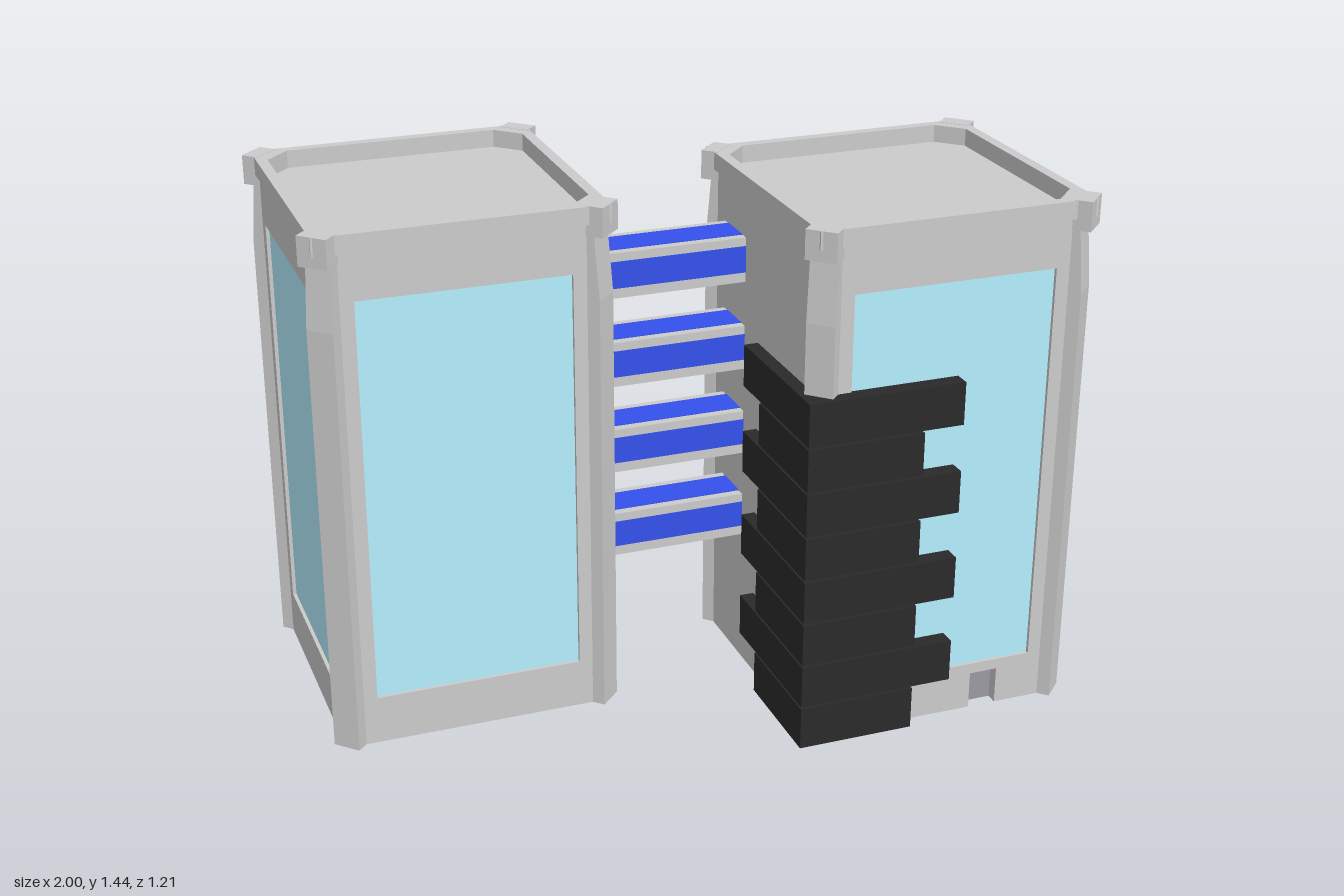
import * as THREE from 'three';

const mat = (color) => new THREE.MeshStandardMaterial({ color, side: THREE.DoubleSide, flatShading: true });
const grey = mat(0xcccccc), glass = mat(0xb5efff), blue = mat(0x3451ec), black = mat(0x2a2a2a), doorGrey = mat(0x9c9aa2);

const WALL = 0.375;      // half width of a tower body
const CENTRE = [0.588, 0.19];

function add(parent, name, geometry, material, x = 0, y = 0, z = 0) {
  const mesh = new THREE.Mesh(geometry, material);
  mesh.name = name;
  mesh.position.set(x, y, z);
  parent.add(mesh);
  return mesh;
}

const polygon = (points) => new THREE.Shape(points.map(([x, y]) => new THREE.Vector2(x, y)));
const box = (x, y, z) => new THREE.BoxGeometry(x, y, z);

// Plan outline (x, -z) raised along y
function raise(shape, height, steps = 1) {
  return new THREE.ExtrudeGeometry(shape, { depth: height, steps, bevelEnabled: false }).rotateX(-Math.PI / 2);
}

// Diagonal corner post outline: outer half extent h, face width f, shoulder s
const postShape = (h, f, s) => polygon([
  [h - f - s, h - s], [h - s, h - f - s], [h, h - f], [h - f, h],
]);

// One side of a tower, facing +z
function makeWall(hasWindow, hasDoor) {
  const wall = new THREE.Group();
  const outline = [[-0.33, 0], [0.33, 0], [0.33, 1.39], [-0.33, 1.39]];
  if (hasDoor) outline.splice(1, 0, [0.107, 0], [0.107, 0.105], [0.187, 0.105], [0.187, 0]);
  const shape = polygon(outline);
  if (hasWindow) {
    shape.holes.push(polygon([[-0.283, 0.135], [-0.283, 1.26], [0.283, 1.26], [0.283, 0.135]]));
    add(wall, 'windowGlass', new THREE.PlaneGeometry(0.58, 1.14), glass, 0, 0.6975, WALL - 0.01);
  }
  add(wall, 'wallPanel', new THREE.ExtrudeGeometry(shape, { depth: 0.012, bevelEnabled: false }), grey, 0, 0, WALL - 0.012);
  if (hasDoor) {
    // Recessed doorway
    add(wall, 'door', box(0.08, 0.105, 0.004), doorGrey, 0.147, 0.0525, WALL - 0.034);
    for (const x of [0.105, 0.189]) add(wall, 'doorJamb', box(0.004, 0.107, 0.036), grey, x, 0.0535, WALL - 0.018);
    add(wall, 'doorLintel', box(0.088, 0.004, 0.036), grey, 0.147, 0.107, WALL - 0.018);
  }
  return wall;
}

function makeTower() {
  const tower = new THREE.Group();

  // Walls: three glazed sides, the bridge side is plain
  ['frontWall', 'leftWall', 'backWall', 'bridgeWall'].forEach((name, i) => {
    const wall = makeWall(i < 3, i === 0);
    wall.name = name;
    wall.rotation.y = i * Math.PI / 2;
    tower.add(wall);
  });

  // Corner posts leaning in below their caps
  const post = raise(postShape(0.4, 0.055, 0.025), 1.36, 8);
  const p = post.attributes.position;
  for (let i = 0; i < p.count; i++) {
    if (p.getY(i) > 1.3) p.setXYZ(i, p.getX(i) - 0.01, p.getY(i), p.getZ(i) + 0.01);
  }
  post.computeVertexNormals();
  const cap = raise(postShape(0.412, 0.06, 0.035), 0.08);
  for (let i = 0; i < 4; i++) {
    add(tower, 'cornerPost', post, grey).rotation.y = i * Math.PI / 2;
    add(tower, 'cornerCap', cap, grey, 0, 1.36, 0).rotation.y = i * Math.PI / 2;
  }

  // Roof with a parapet around a chamfered recess
  const e = 0.385, r = 0.355, c = 0.29;
  const rim = polygon([[-e, -e], [e, -e], [e, e], [-e, e]]);
  rim.holes.push(polygon([[-c, -r], [-r, -c], [-r, c], [-c, r], [c, r], [r, c], [r, -c], [c, -r]]));
  add(tower, 'parapet', raise(rim, 0.049), grey, 0, 1.39, 0);
  add(tower, 'roof', box(2 * WALL, 0.015, 2 * WALL), grey, 0, 1.383, 0);

  // Stacked L-shaped terraces around one front corner, alternately short and long
  const o = 0.414, t = 0.046;
  for (let i = 0; i < 8; i++) {
    const n = i % 2 ? 0.435 : 0.325;
    const ell = polygon([
      [-o, -o], [-o + n, -o], [-o + n, -o + t], [-o + t, -o + t], [-o + t, -o + n], [-o, -o + n],
    ]);
    add(tower, 'terrace', raise(ell, 0.119), black, 0, i * 0.1255, 0);
  }
  return tower;
}

export function createModel() {
  const model = new THREE.Group();
  model.name = 'twinTowers';

  // Two towers, each the other turned half round
  [1, -1].forEach((s) => {
    const tower = makeTower();
    tower.name = s > 0 ? 'frontTower' : 'backTower';
    tower.position.set(s * CENTRE[0], 0, s * CENTRE[1]);
    tower.rotation.y = s > 0 ? 0 : Math.PI;
    model.add(tower);
  });

  // Glazed bridges between the towers
  const length = 2 * (CENTRE[0] - WALL);
  for (let i = 0; i < 4; i++) {
    const bridge = new THREE.Group();
    bridge.name = 'bridge';
    bridge.position.y = 0.447 + i * 0.251;
    add(bridge, 'bridgeBody', box(length, 0.125, 0.15), grey);
    add(bridge, 'bridgeSideGlass', box(length, 0.074, 0.154), blue, 0, 0.002, 0);
    add(bridge, 'bridgeTopGlass', box(length, 0.004, 0.1), blue, 0, 0.0625, 0);
    model.add(bridge);
  }
  return model;
}
